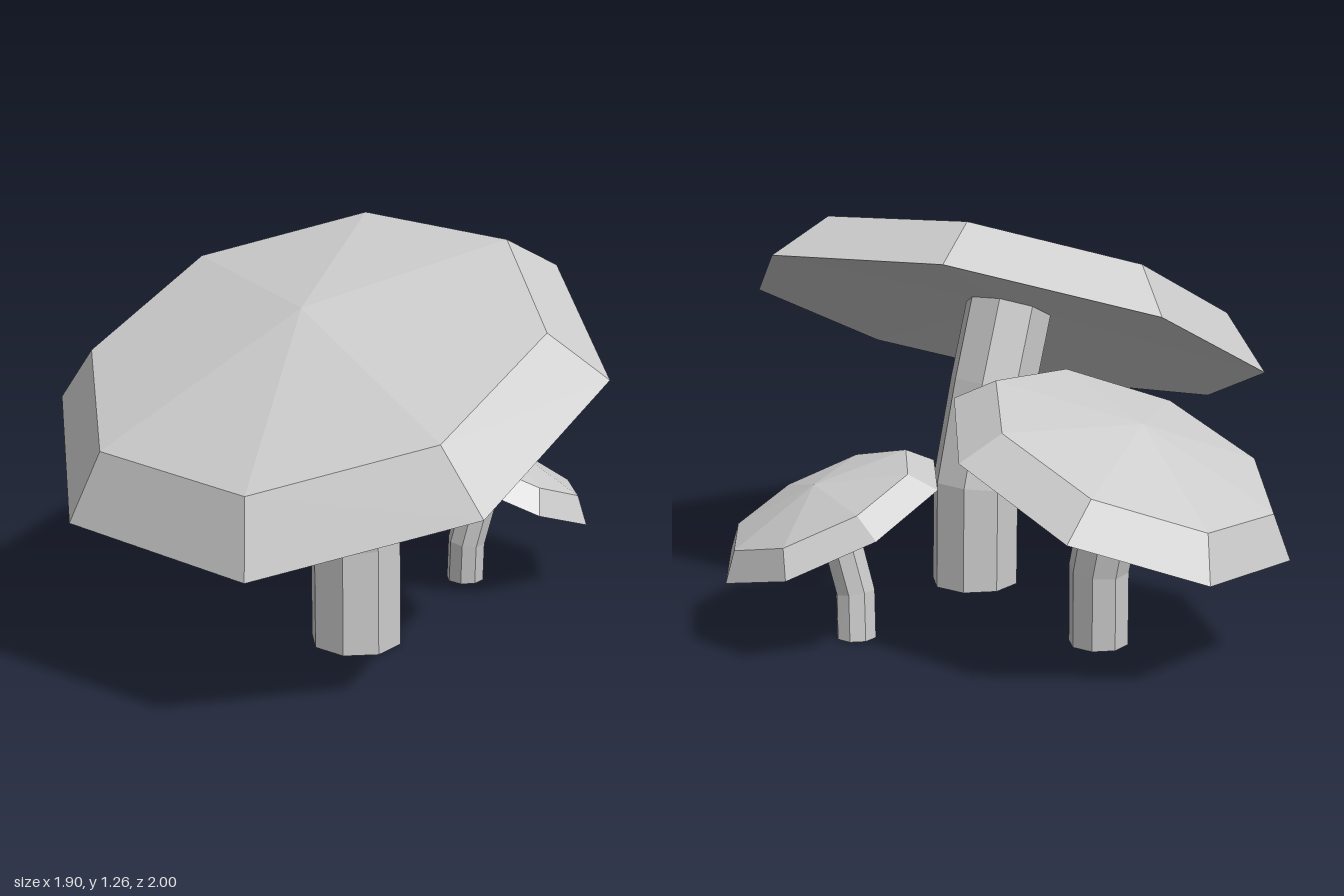
import * as THREE from 'three';

const SIDES = 8;
const UP = new THREE.Vector3(0, 1, 0);
const material = new THREE.MeshStandardMaterial({ color: 0xcccccc, flatShading: true });

// Faceted cap: hollow underside, bevelled rim, low pointed top (radius 1 at the rim)
function makeCap({ center, normal, radius, twist }) {
  const profile = [[0, 0.1], [1, 0], [0.82, 0.2], [0, 0.34]].map(([r, y]) => new THREE.Vector2(r, y));
  const geometry = new THREE.LatheGeometry(profile, SIDES, Math.PI / SIDES);
  geometry.rotateY(twist);
  const cap = new THREE.Mesh(geometry, material);
  cap.name = 'cap';
  cap.scale.setScalar(radius);
  cap.position.set(...center);
  cap.quaternion.setFromUnitVectors(UP, new THREE.Vector3(...normal).normalize());
  return cap;
}

// Bent stem: each ring of a cylinder is moved onto the path and tilted along it
function makeStem({ path, radius }) {
  const points = path.map((p) => new THREE.Vector3(...p));
  const last = points.length - 1;
  const tilts = points.map((p, i) => {
    const along = i === 0 ? UP.clone()
      : points[Math.min(i + 1, last)].clone().sub(points[i - 1]).normalize();
    return new THREE.Quaternion().setFromUnitVectors(UP, along);
  });
  const geometry = new THREE.CylinderGeometry(radius, radius, 1, SIDES, last);
  geometry.rotateY(Math.PI / SIDES);
  const pos = geometry.attributes.position;
  const v = new THREE.Vector3();
  for (let i = 0; i < pos.count; i++) {
    v.fromBufferAttribute(pos, i);
    const ring = Math.round((v.y + 0.5) * last);
    v.setY(0).applyQuaternion(tilts[ring]).add(points[ring]);
    pos.setXYZ(i, v.x, v.y, v.z);
  }
  geometry.computeVertexNormals();
  const stem = new THREE.Mesh(geometry, material);
  stem.name = 'stem';
  return stem;
}

const MUSHROOMS = [
  {
    name: 'largeMushroom',
    cap: { center: [-0.21, 0.828, 0.205], normal: [-0.434, 1, 0.047], radius: 0.86, twist: 0 },
    stem: {
      path: [[-0.09, 0, 0.24], [-0.09, 0.335, 0.235], [-0.165, 0.65, 0.22], [-0.25, 0.93, 0.21]],
      radius: 0.143,
    },
  },
  {
    name: 'backMushroom',
    cap: { center: [0.21, 0.529, -0.527], normal: [-0.04, 1, -0.43], radius: 0.547, twist: -0.05 },
    stem: {
      path: [[0.185, 0, -0.44], [0.2, 0.24, -0.45], [0.21, 0.43, -0.495], [0.212, 0.6, -0.555]],
      radius: 0.091,
    },
  },
  {
    name: 'smallMushroom',
    cap: { center: [0.615, 0.365, 0.237], normal: [0.35, 1, 0.286], radius: 0.37, twist: -0.09 },
    stem: {
      path: [[0.572, 0, 0.185], [0.562, 0.14, 0.195], [0.578, 0.27, 0.222], [0.615, 0.39, 0.238]],
      radius: 0.062,
    },
  },
];

export function createModel() {
  const model = new THREE.Group();
  model.name = 'mushroomCluster';
  for (const { name, cap, stem } of MUSHROOMS) {
    const mushroom = new THREE.Group();
    mushroom.name = name;
    mushroom.add(makeStem(stem), makeCap(cap));
    model.add(mushroom);
  }
  return model;
}
